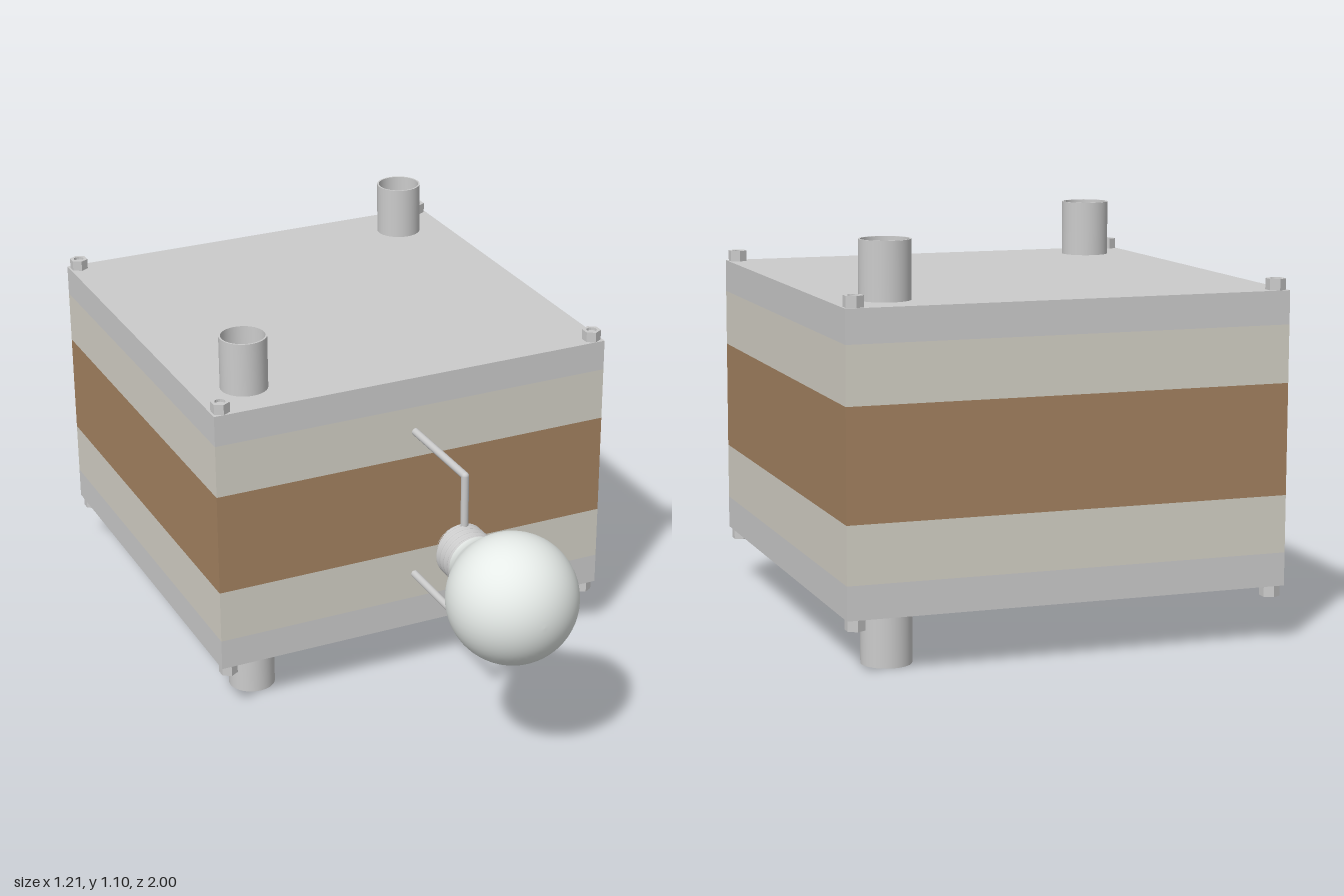
import * as THREE from 'three';

const HALF = 0.606, CZ = -0.393;                       // block half width and centre z
const PIPES = [[0.456, CZ - 0.456], [-0.456, CZ + 0.456]];
const PIPE_R = 0.0675;

const mat = (color, extra = {}) => new THREE.MeshStandardMaterial({ color, ...extra });

export function createModel() {
  const model = new THREE.Group();
  const grey = mat(0xcccccc), flatGrey = mat(0xcccccc, { flatShading: true });
  const beige = mat(0xd4d1c6), brown = mat(0xa48261), glass = mat(0xe6ebe8);

  const add = (name, geometry, material, x = 0, y = 0, z = 0, parent = model) => {
    const mesh = new THREE.Mesh(geometry, material);
    mesh.name = name;
    mesh.position.set(x, y, z);
    parent.add(mesh);
    return mesh;
  };

  // Square layer outline, pierced where the two pipes pass through
  const outline = new THREE.Shape();
  outline.moveTo(-HALF, -HALF).lineTo(HALF, -HALF).lineTo(HALF, HALF).lineTo(-HALF, HALF).closePath();
  for (const [x, z] of PIPES) {
    outline.holes.push(new THREE.Path().absarc(x, CZ - z, PIPE_R - 0.001, 0, Math.PI * 2, true));
  }

  // Stacked layers, bottom to top
  const layers = [
    ['bottomPlate', 0.155, 0.245, grey],
    ['lowerLayer', 0.245, 0.4, beige],
    ['coreLayer', 0.4, 0.7, brown],
    ['upperLayer', 0.7, 0.855, beige],
    ['topPlate', 0.855, 0.945, grey],
  ];
  for (const [name, y0, y1, material] of layers) {
    const g = new THREE.ExtrudeGeometry(outline, { depth: y1 - y0, bevelEnabled: false, curveSegments: 24 });
    add(name, g.rotateX(-Math.PI / 2), material, 0, y0, CZ);
  }

  // Hollow through-pipes: outer wall, inner wall and the two rims
  const inner = PIPE_R - 0.005;
  for (const [x, z] of PIPES) {
    const pipe = new THREE.Group();
    pipe.name = 'pipe';
    pipe.position.set(x, 0, z);
    model.add(pipe);
    const wall = (r) => new THREE.CylinderGeometry(r, r, 1.1, 40, 1, true);
    add('outerWall', wall(PIPE_R), grey, 0, 0.55, 0, pipe);
    add('innerWall', wall(inner), mat(0xcccccc, { side: THREE.BackSide }), 0, 0.55, 0, pipe);
    for (const s of [1, -1]) {
      const rim = new THREE.RingGeometry(inner, PIPE_R, 40).rotateX(-s * Math.PI / 2);
      add('rim', rim, grey, 0, s > 0 ? 1.1 : 0, 0, pipe);
    }
  }

  // Hexagonal nuts with a bolt end inside, at every corner above and below
  const hex = new THREE.Shape();
  for (let i = 0; i < 6; i++) {
    const a = i * Math.PI / 3 + Math.PI / 2;
    hex[i ? 'lineTo' : 'moveTo'](0.027 * Math.cos(a), 0.027 * Math.sin(a));
  }
  hex.closePath();
  hex.holes.push(new THREE.Path().absarc(0, 0, 0.015, 0, Math.PI * 2, true));
  const nutGeo = new THREE.ExtrudeGeometry(hex, { depth: 0.03, bevelEnabled: false, curveSegments: 8 });
  nutGeo.rotateX(-Math.PI / 2);
  const boltGeo = new THREE.CylinderGeometry(0.015, 0.015, 0.022, 16);
  for (const sx of [1, -1]) for (const sz of [1, -1]) for (const top of [true, false]) {
    const x = sx * 0.577, z = CZ + sz * 0.579;
    add('nut', nutGeo, flatGrey, x, top ? 0.945 : 0.125, z);
    add('boltEnd', boltGeo, grey, x, top ? 0.956 : 0.144, z);
  }

  // Wire loop from the front face to the bulb
  const WR = 0.011, WZ = 0.522, Y0 = 0.322, Y1 = 0.778;
  const rod = (len) => new THREE.CylinderGeometry(WR, WR, len, 16);
  add('verticalWire', rod(Y1 - Y0), grey, 0, 0.55, WZ);
  for (const y of [Y0, Y1]) {
    add('horizontalWire', rod(WZ - 0.2).rotateX(Math.PI / 2), grey, 0, y, (WZ + 0.2) / 2);
    add('wireElbow', new THREE.SphereGeometry(WR, 16, 12), grey, 0, y, WZ);
  }

  // Light bulb, turned around the z axis
  const bulb = new THREE.Group();
  bulb.name = 'lightBulb';
  bulb.position.set(-0.007, 0.55, 0);
  model.add(bulb);

  const v = (r, z) => new THREE.Vector2(r, z);
  const neck = new THREE.SplineCurve([
    v(0.077, 0.598), v(0.081, 0.615), v(0.092, 0.64), v(0.11, 0.665), v(0.1335, 0.699),
  ]).getPoints(16);
  const globe = [];
  for (let i = 1; i <= 28; i++) {
    const a = THREE.MathUtils.lerp(-0.735, Math.PI / 2, i / 28);
    globe.push(v(Math.max(0, 0.18 * Math.cos(a)), 0.82 + 0.18 * Math.sin(a)));
  }
  add('globe', new THREE.LatheGeometry([...neck, ...globe], 48).rotateX(Math.PI / 2), glass, 0, 0, 0, bulb);

  // Screw base: a sleeve rippled into a helical thread
  const sleeve = new THREE.CylinderGeometry(0.075, 0.075, 0.09, 48, 40, true);
  const p = sleeve.attributes.position;
  for (let i = 0; i < p.count; i++) {
    const angle = Math.atan2(p.getX(i), p.getZ(i));
    const k = 1 + 0.05 * Math.sin(angle + p.getY(i) * Math.PI * 2 / 0.022);
    p.setXYZ(i, p.getX(i) * k, p.getY(i), p.getZ(i) * k);
  }
  sleeve.computeVertexNormals();
  add('screwThread', sleeve.rotateX(Math.PI / 2), grey, 0, 0, 0.556, bulb);

  // Tapered end and contact button
  const cap = [v(0, 0.46), v(0.028, 0.461), v(0.036, 0.468), v(0.038, 0.482), v(0.055, 0.487),
    v(0.068, 0.5), v(0.076, 0.513)];
  add('baseCap', new THREE.LatheGeometry(cap, 40).rotateX(Math.PI / 2), grey, 0, 0, 0, bulb);

  return model;
}
